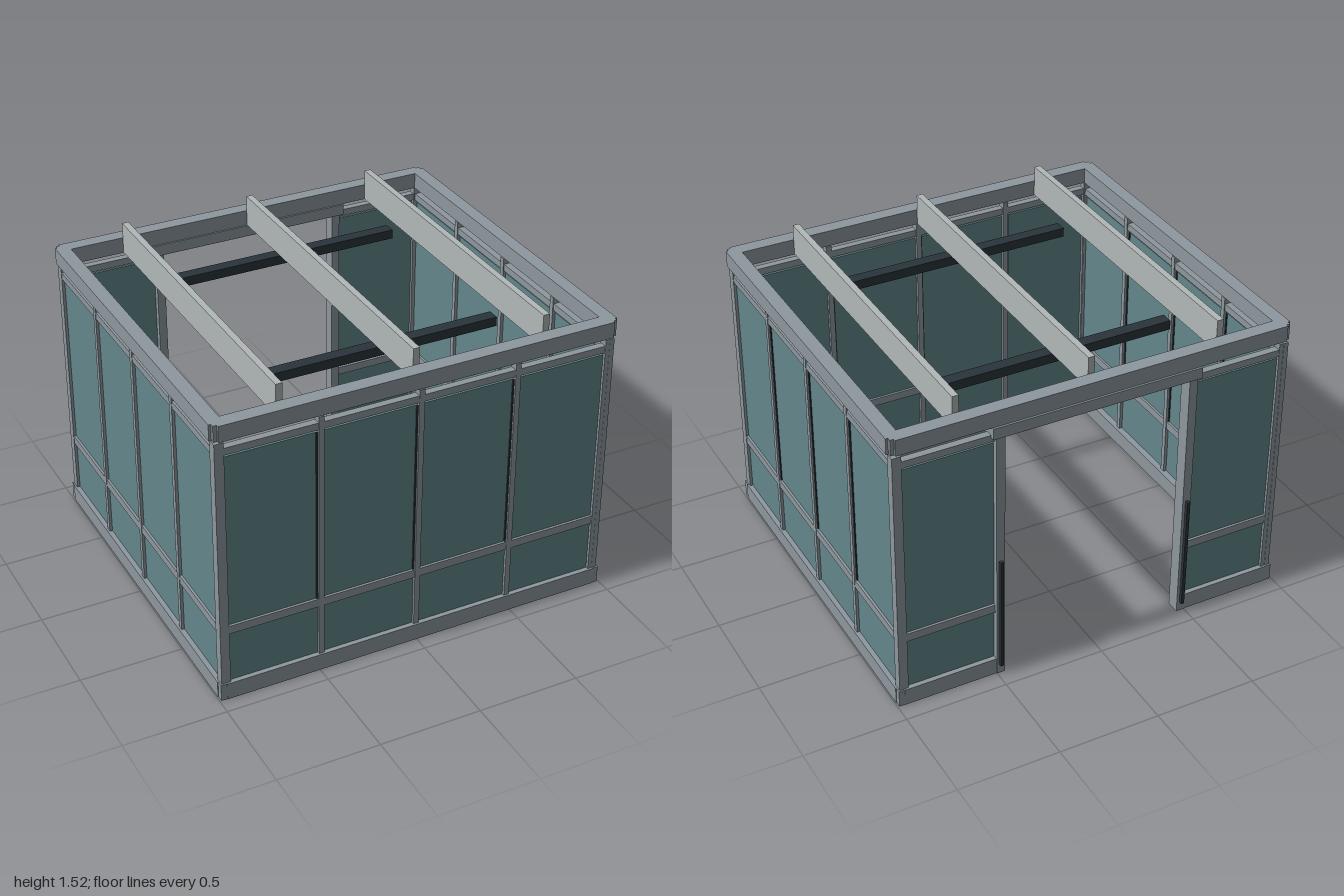
import * as THREE from 'three';

const mat = (name, color) => {
  const m = new THREE.MeshStandardMaterial({ color });
  m.name = name;
  return m;
};

export function createModel() {
  const frame = mat('grey frame', 0x8e989e);
  const pale = mat('pale rafter', 0xb2b8b8);
  const glass = mat('teal glass', 0x63878c);
  const dark = mat('dark metal', 0x2a343a);
  const model = new THREE.Group();
  model.name = 'glazedCabin';

  // Box given by its limits on each axis
  function box(parent, name, m, [x0, x1], [y0, y1], [z0, z1]) {
    const mesh = new THREE.Mesh(new THREE.BoxGeometry(x1 - x0, y1 - y0, z1 - z0), m);
    mesh.position.set((x0 + x1) / 2, (y0 + y1) / 2, (z0 + z1) / 2);
    mesh.name = name;
    parent.add(mesh);
    return mesh;
  }

  // Wall section along local x, outer face at local z = 0
  function wall(name, u0, u1, mullions, gasketSide) {
    const g = new THREE.Group();
    g.name = name;
    const w = 0.0135;
    box(g, 'baseBeam', frame, [u0, u1], [0, 0.085], [-0.06, 0.01]);
    box(g, 'middleRail', frame, [u0, u1], [0.348, 0.39], [-0.038, -0.002]);
    box(g, 'topRail', frame, [u0, u1], [1.277, 1.312], [-0.038, -0.002]);
    box(g, 'lowerPane', glass, [u0 + 0.01, u1 - 0.01], [0.085, 0.348], [-0.026, -0.014]);
    box(g, 'upperPane', glass, [u0 + 0.01, u1 - 0.01], [0.39, 1.262], [-0.026, -0.014]);
    for (const u of [u0 + 0.011, u1 - 0.011])
      box(g, 'endPost', frame, [u - 0.011, u + 0.011], [0.085, 1.342], [-0.042, 0]);
    for (const u of mullions) {
      box(g, 'mullion', frame, [u - w, u + w], [0.085, 1.342], [-0.042, 0]);
      const s = u + gasketSide * 0.0175;
      box(g, 'gasket', dark, [s - 0.004, s + 0.004], [0.39, 1.262], [-0.03, -0.009]);
    }
    model.add(g);
    return g;
  }

  const front = wall('frontWall', -0.962, 0.962, [-0.487, 0, 0.485], -1);
  front.position.z = 0.913;

  const left = wall('leftWall', -0.89, 0.88, [-0.455, -0.01, 0.43], 1);
  left.rotation.y = Math.PI / 2;
  left.position.x = 0.985;

  const right = wall('rightWall', -0.88, 0.89, [-0.43, 0.01, 0.455], -1);
  right.rotation.y = -Math.PI / 2;
  right.position.x = -0.985;

  // Back wall: two sections either side of the doorway
  for (const s of [-1, 1]) {
    const [a, b] = s > 0 ? [0.47, 0.962] : [-0.962, -0.47];
    const back = wall('backWall', a, b, [], 1);
    back.rotation.y = Math.PI;
    back.position.z = -0.9;
    const jamb = box(model, 'doorJamb', frame, [-0.021, 0.021], [0, 1.342], [-0.913, -0.845]);
    jamb.position.x = s * 0.481;
    const handle = box(model, 'doorHandle', dark, [-0.008, 0.008], [0.05, 0.64], [-0.93, -0.912]);
    handle.position.x = s * 0.482;
    // Corner posts with base blocks
    for (const z of [0.902, -0.89]) {
      const post = box(model, 'cornerPost', frame, [-0.012, 0.012], [0.085, 1.342], [z - 0.012, z + 0.012]);
      post.position.x = s * 0.973;
      const foot = box(model, 'cornerFoot', frame, [-0.018, 0.018], [0, 0.086], [z - 0.019, z + 0.019]);
      foot.position.x = s * 0.974;
    }
  }
  box(model, 'doorHeader', frame, [-0.52, 0.52], [1.3, 1.356], [-0.92, -0.832]);

  // Roof ring with chamfered, slightly notched corners
  const X = 1, F = 0.928, B = -0.91, c = 0.03, n = 0.012;
  const outline = [
    [X, F - c], [X - n, F - c], [X - n, F - n], [X - c, F - n], [X - c, F],
    [-X + c, F], [-X + c, F - n], [-X + n, F - n], [-X + n, F - c], [-X, F - c],
    [-X, B + c], [-X + n, B + c], [-X + n, B + n], [-X + c, B + n], [-X + c, B],
    [X - c, B], [X - c, B + n], [X - n, B + n], [X - n, B + c], [X, B + c],
  ];
  const toShape = (pts, C) => new C(pts.map(([x, z]) => new THREE.Vector2(x, -z)));
  const shape = toShape(outline, THREE.Shape);
  shape.holes.push(toShape([[0.933, 0.855], [0.933, -0.84], [-0.933, -0.84], [-0.933, 0.855]], THREE.Path));
  const ringGeo = new THREE.ExtrudeGeometry(shape, { depth: 0.08, bevelEnabled: false });
  ringGeo.rotateX(-Math.PI / 2);
  const ring = new THREE.Mesh(ringGeo, frame);
  ring.name = 'roofRing';
  ring.position.y = 1.356;
  model.add(ring);

  // Rafters and the two dark bars hung below them
  for (const x of [-0.655, 0, 0.655])
    box(model, 'rafter', pale, [x - 0.016, x + 0.016], [1.36, 1.516], [-0.835, 0.852]);
  for (const z of [-0.49, 0.503])
    box(model, 'ceilingBar', dark, [-0.598, 0.598], [1.315, 1.361], [z - 0.03, z + 0.03]);

  return model;
}
